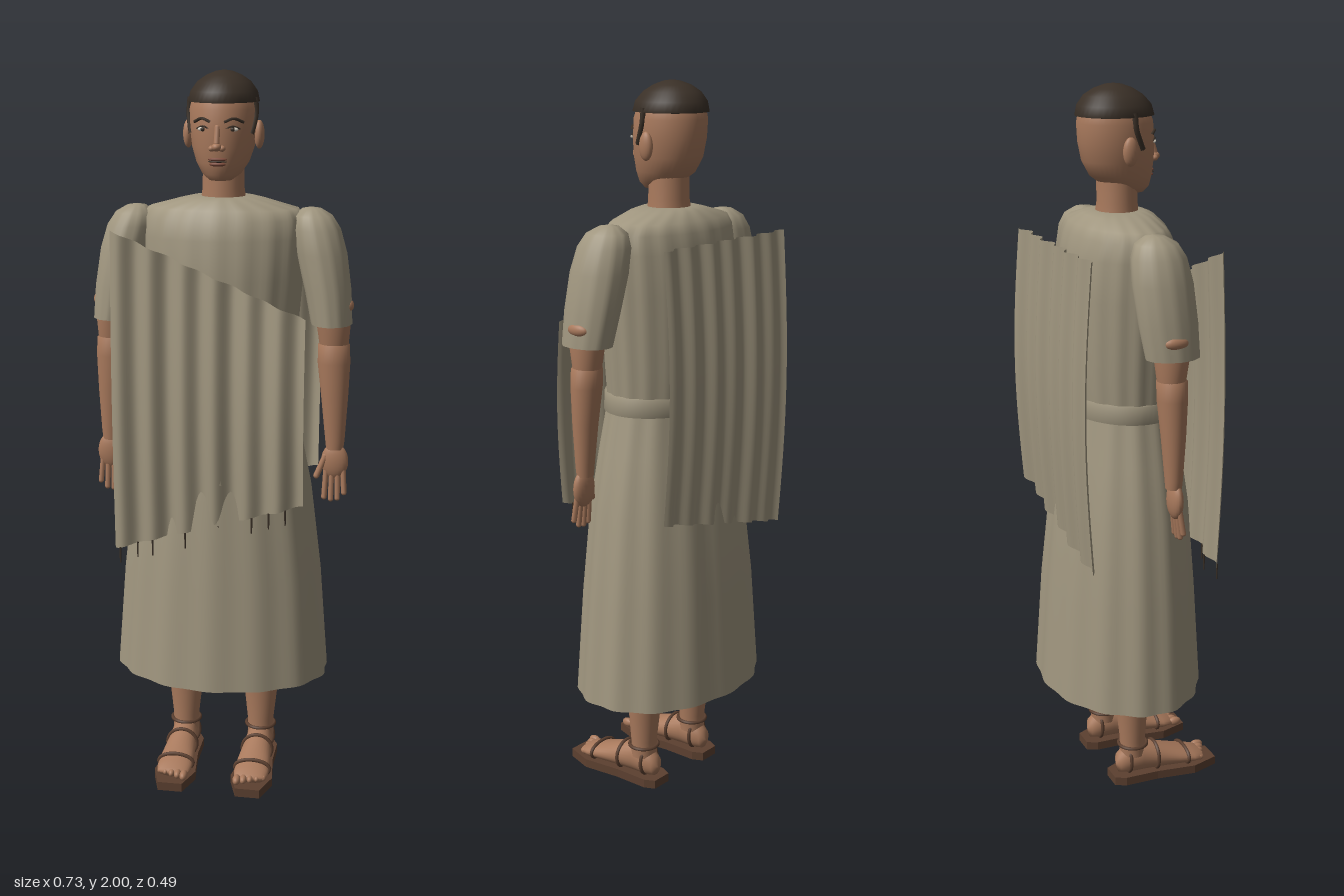
import * as THREE from 'three';

const mat = (name, color, side = THREE.FrontSide) => {
  const m = new THREE.MeshStandardMaterial({ color, side });
  m.name = name;
  return m;
};

// Skin over elliptical rings [y, halfWidth, zFront, zBack, xCentre], bottom to top,
// with optional vertical folds.
function loft(rings, { n = 32, folds = 0, depth = 0 } = {}) {
  const pos = [], idx = [];
  rings.forEach(([y, rx, zf, zb, cx = 0], j) => {
    for (let i = 0; i < n; i++) {
      const a = (i / n) * Math.PI * 2;
      const k = 1 + depth * Math.cos(folds * a) + depth * 0.5 * Math.cos(5 * a + 1);
      pos.push(cx + rx * k * Math.sin(a), y, (zf + zb) / 2 + ((zf - zb) / 2) * k * Math.cos(a));
      if (j < rings.length - 1) {
        const b = j * n + i, c = j * n + ((i + 1) % n);
        idx.push(b, c, c + n, b, c + n, b + n);
      }
    }
  });
  const g = new THREE.BufferGeometry();
  g.setAttribute('position', new THREE.Float32BufferAttribute(pos, 3));
  g.setIndex(idx);
  g.computeVertexNormals();
  return g;
}

const v = (p) => new THREE.Vector3(...p);
const tube = (pts, r, closed = false, seg = 24) =>
  new THREE.TubeGeometry(new THREE.CatmullRomCurve3(pts.map(v), closed), seg, r, 6, closed);

// Closed strap around an ellipse lying in the XY plane
function strap(rx, ry, r) {
  const pts = [];
  for (let i = 0; i < 12; i++) {
    const a = (i / 12) * Math.PI * 2;
    pts.push([rx * Math.cos(a), ry * Math.sin(a), 0]);
  }
  return tube(pts, r, true, 36);
}

// Tapered limb segment with rounded ends between two points
function finger(a, b, r) {
  const A = v(a), B = v(b), d = B.clone().sub(A);
  const g = new THREE.CapsuleGeometry(r, d.length(), 4, 8);
  g.applyQuaternion(new THREE.Quaternion().setFromUnitVectors(new THREE.Vector3(0, 1, 0), d.normalize()));
  g.translate(...A.add(B).multiplyScalar(0.5).toArray());
  return g;
}

export function createModel() {
  const cloth = mat('cloth', 0xa0967f, THREE.DoubleSide);
  const skin = mat('skin', 0xa8795c);
  const hair = mat('hair', 0x3a3027);
  const leather = mat('leather', 0x5c4030);
  const lips = mat('lips', 0x7d4a3a);
  const white = mat('eyeWhite', 0xd8cfc0);

  const model = new THREE.Group();
  model.name = 'robedMan';
  const add = (parent, name, geo, m, p = [0, 0, 0], s = [1, 1, 1]) => {
    const mesh = new THREE.Mesh(geo, m);
    mesh.name = name;
    mesh.position.set(...p);
    mesh.scale.set(...s);
    parent.add(mesh);
    return mesh;
  };
  const group = (name, parent = model) => {
    const g = new THREE.Group();
    g.name = name;
    parent.add(g);
    return g;
  };
  const ball = new THREE.SphereGeometry(1, 20, 14);

  // Tunic: flared skirt, belt, torso with gathered neckline
  add(model, 'skirt', loft([
    [0.30, 0.305, 0.208, -0.24], [0.6, 0.282, 0.19, -0.22], [0.85, 0.252, 0.172, -0.195],
    [1.0, 0.222, 0.152, -0.17], [1.13, 0.196, 0.132, -0.15],
  ], { n: 96, folds: 14, depth: 0.014 }), cloth);
  add(model, 'belt', loft([
    [1.118, 0.19, 0.13, -0.145], [1.12, 0.205, 0.143, -0.158], [1.17, 0.203, 0.141, -0.157], [1.172, 0.19, 0.13, -0.145],
  ], { n: 64 }), cloth);
  add(model, 'torso', loft([
    [1.15, 0.194, 0.133, -0.15], [1.25, 0.203, 0.138, -0.16], [1.45, 0.22, 0.139, -0.166],
    [1.56, 0.225, 0.13, -0.158], [1.61, 0.222, 0.115, -0.145], [1.637, 0.205, 0.098, -0.132],
    [1.66, 0.12, 0.078, -0.105], [1.668, 0.085, 0.058, -0.085], [1.668, 0.05, 0.035, -0.06],
  ], { n: 96, folds: 18, depth: 0.011 }), cloth);
  add(model, 'beltTail', tube([[0, 1.16, 0.143], [0.01, 1.1, 0.16], [0.015, 1.0, 0.165], [0.02, 0.9, 0.172]], 0.01),
    cloth);

  // Mantle: one pleated panel in front, one behind
  const panel = (name, zAt, topAt, bottomAt) => {
    const g = new THREE.PlaneGeometry(1, 1, 84, 16), p = g.attributes.position;
    for (let i = 0; i < p.count; i++) {
      const u = p.getX(i) + 0.5, t = p.getY(i) + 0.5;
      const y = THREE.MathUtils.lerp(bottomAt(u), topAt(u), t);
      p.setXYZ(i, -0.275 + 0.525 * u, y, zAt(u, t));
    }
    g.computeVertexNormals();
    return add(model, name, g, cloth);
  };
  const wave = (u) => 0.01 * Math.sin(u * Math.PI * 2 * 6) + 0.003 * Math.sin(u * 17);
  const frontZ = (u, t) => 0.168 + 0.014 * Math.sin(Math.PI * t) + wave(u);
  const frontBottom = (u) => 0.7 + 0.15 * u;
  panel('frontMantle', frontZ, (u) => 1.59 - 0.225 * u, frontBottom);
  panel('backMantle', (u, t) => -0.2 - 0.02 * Math.sin(Math.PI * t) + wave(u),
    () => 1.59, (u) => 0.74 + 0.12 * u);

  // Fringe along the lower hem
  const fringe = group('fringe');
  for (let i = 0; i < 11; i++) {
    const u = 0.03 + i * 0.088;
    add(fringe, 'tassel', new THREE.CylinderGeometry(0.003, 0.002, 0.045, 5), hair,
      [-0.275 + 0.525 * u, frontBottom(u) - 0.021, frontZ(u, 0)]);
  }

  // Head, neck and cropped hair
  add(model, 'neck', loft([[1.64, 0.064, 0.045, -0.075], [1.69, 0.057, 0.042, -0.068], [1.78, 0.056, 0.04, -0.068]]), skin);
  const head = group('head');
  add(head, 'skull', loft([
    [1.711, 0.002, 0.04, 0.036], [1.714, 0.03, 0.062, 0.0], [1.73, 0.052, 0.076, -0.045], [1.76, 0.071, 0.083, -0.088],
    [1.8, 0.084, 0.087, -0.11], [1.85, 0.091, 0.088, -0.12], [1.9, 0.092, 0.084, -0.123],
    [1.94, 0.083, 0.07, -0.115], [1.965, 0.058, 0.04, -0.088], [1.98, 0.002, -0.022, -0.026],
  ], { n: 40 }), skin);
  add(head, 'hair', loft([
    [1.917, 0.088, 0.078, -0.12], [1.918, 0.096, 0.087, -0.127], [1.945, 0.09, 0.079, -0.122], [1.97, 0.072, 0.056, -0.104],
    [1.987, 0.047, 0.028, -0.077], [1.997, 0.022, 0, -0.048], [2.0, 0.001, -0.023, -0.025],
  ], { n: 40 }), hair);
  add(head, 'noseBridge', finger([0, 1.855, 0.084], [0, 1.815, 0.097], 0.008), skin);
  add(head, 'noseTip', ball, skin, [0, 1.805, 0.096], [0.013, 0.011, 0.015]);
  add(head, 'mouth', ball, hair, [0, 1.766, 0.081], [0.026, 0.0025, 0.008]);
  add(head, 'upperLip', ball, lips, [0, 1.772, 0.08], [0.026, 0.005, 0.008]);
  add(head, 'lowerLip', ball, lips, [0, 1.759, 0.079], [0.022, 0.006, 0.009]);
  for (const s of [-1, 1]) {
    add(head, 'ear', ball, skin, [s * 0.097, 1.832, -0.015], [0.014, 0.038, 0.021]);
    add(head, 'nostril', ball, skin, [s * 0.014, 1.801, 0.09], [0.009, 0.008, 0.01]);
    add(head, 'eye', ball, white, [s * 0.04, 1.85, 0.074], [0.015, 0.006, 0.006]);
    add(head, 'iris', ball, hair, [s * 0.04, 1.85, 0.078], [0.006, 0.0055, 0.004]);
    add(head, 'upperLid', tube([[s * 0.022, 1.852, 0.082], [s * 0.04, 1.858, 0.078], [s * 0.058, 1.851, 0.066]], 0.0025), hair);
    add(head, 'eyebrow', tube([[s * 0.018, 1.869, 0.085], [s * 0.042, 1.878, 0.077], [s * 0.066, 1.868, 0.058]], 0.004), hair);
    add(head, 'sideburn', tube([[s * 0.088, 1.93, 0.0], [s * 0.09, 1.89, 0.003], [s * 0.086, 1.86, 0.014], [s * 0.08, 1.835, 0.026]], 0.008), hair);
  }

  // Arms and legs, mirrored
  for (const s of [-1, 1]) {
    const side = s > 0 ? 'left' : 'right';
    const arm = group(side + 'Arm');
    add(arm, 'sleeve', loft([
      [1.33, 0.056, 0.088, -0.06, s * 0.304], [1.42, 0.063, 0.086, -0.075, s * 0.292], [1.52, 0.069, 0.08, -0.084, s * 0.272],
      [1.585, 0.066, 0.068, -0.08, s * 0.256], [1.62, 0.052, 0.048, -0.066, s * 0.247],
      [1.638, 0.026, 0.015, -0.038, s * 0.242], [1.642, 0.001, -0.014, -0.016, s * 0.24],
    ], { n: 48, folds: 12, depth: 0.012 }), cloth);
    add(arm, 'elbowPatch', ball, skin, [s * 0.347, 1.378, 0.005], [0.016, 0.018, 0.034]);
    add(arm, 'upperArm', loft([
      [1.27, 0.04, 0.046, -0.03, s * 0.311], [1.33, 0.047, 0.056, -0.038, s * 0.309], [1.4, 0.05, 0.06, -0.042, s * 0.3],
    ]), skin);
    add(arm, 'forearm', loft([
      [0.975, 0.024, 0.036, -0.008, s * 0.319], [1.0, 0.027, 0.038, -0.01, s * 0.319], [1.12, 0.037, 0.046, -0.02, s * 0.316],
      [1.22, 0.045, 0.051, -0.03, s * 0.312], [1.27, 0.044, 0.05, -0.031, s * 0.311], [1.285, 0.02, 0.03, -0.012, s * 0.311],
    ]), skin);
    const hand = group('hand', arm);
    add(hand, 'palm', ball, skin, [s * 0.32, 0.94, 0.018], [0.038, 0.052, 0.019]);
    [0.83, 0.825, 0.828, 0.845].forEach((y, i) => {
      const x = 0.297 + i * 0.0155;
      add(hand, 'finger', finger([s * x, 0.925, 0.02], [s * (x - 0.004 + i * 0.003), y + 0.008, 0.03], 0.0078), skin);
    });
    add(hand, 'thumb', finger([s * 0.294, 0.955, 0.024], [s * 0.271, 0.9, 0.034], 0.0085), skin);

    const leg = group(side + 'Leg');
    leg.position.x = s * 0.112;
    add(leg, 'shin', loft([
      [0.08, 0.038, 0.025, -0.05], [0.13, 0.038, 0.024, -0.05], [0.22, 0.048, 0.029, -0.06],
      [0.32, 0.054, 0.035, -0.066], [0.6, 0.065, 0.05, -0.07],
    ]), skin);
    // Foot lofted heel to toe, then laid flat (front/back values are negated heights)
    const foot = loft([
      [-0.066, 0.002, -0.05, -0.054], [-0.058, 0.024, -0.026, -0.085], [-0.03, 0.034, -0.02, -0.11], [0.01, 0.037, -0.02, -0.118],
      [0.06, 0.042, -0.02, -0.098], [0.12, 0.048, -0.02, -0.077], [0.17, 0.05, -0.02, -0.06],
      [0.2, 0.044, -0.024, -0.05], [0.208, 0.002, -0.036, -0.04],
    ]);
    add(leg, 'foot', foot.rotateX(Math.PI / 2), skin);
    for (let i = 0; i < 5; i++) {
      const r = 0.0135 - i * 0.0013;
      add(leg, 'toe', ball, skin, [s * (-0.035 + i * 0.0185), 0.037, 0.213 - i * 0.006], [r * 0.85, r, r * 1.5]);
    }
    // Sandal
    const half = [[0.03, -0.08], [0.045, -0.05], [0.046, 0.05], [0.06, 0.165], [0.035, 0.243]];
    const outline = [...half, ...half.slice().reverse().map(([x, z]) => [-x, z])].map(([x, z]) => new THREE.Vector2(x, -z));
    const sole = new THREE.ExtrudeGeometry(new THREE.Shape(outline), { depth: 0.025, bevelEnabled: false });
    add(leg, 'sole', sole.rotateX(-Math.PI / 2), leather);
    [[0.15, 0.051, 0.025, 0.045], [0.055, 0.044, 0.042, 0.06], [-0.03, 0.037, 0.042, 0.065]].forEach(([z, rx, ry, y]) =>
      add(leg, 'strap', strap(rx, ry, 0.0055), leather, [0, y, z]));
    add(leg, 'ankleStrap', strap(0.041, 0.041, 0.0055).rotateX(Math.PI / 2), leather, [0, 0.112, -0.012]);
  }
  return model;
}
